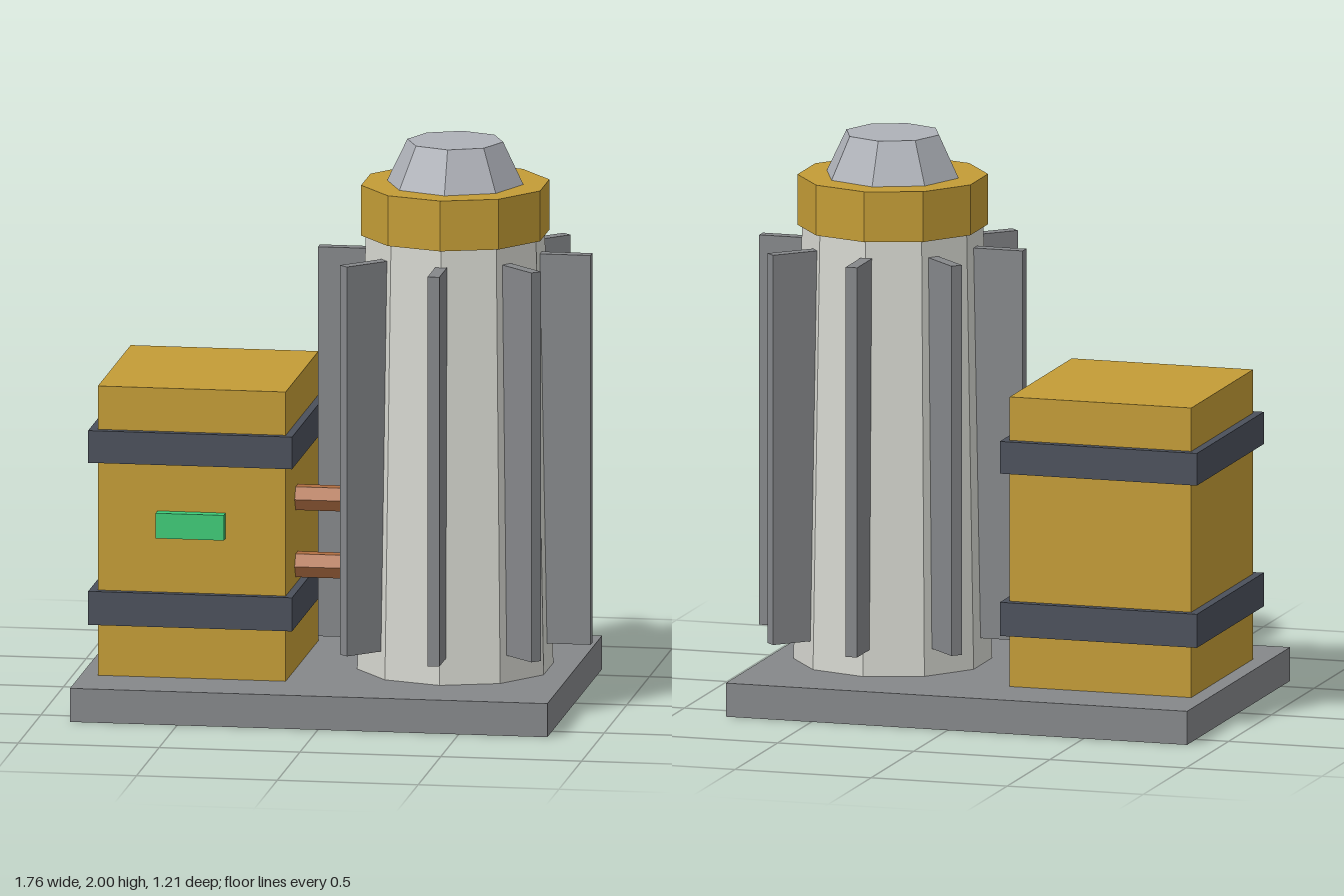
import * as THREE from 'three';

const mat = (name, color) => {
  const m = new THREE.MeshStandardMaterial({ color, flatShading: true });
  m.name = name;
  return m;
};

export function createModel() {
  const model = new THREE.Group();
  model.name = 'reactorUnit';

  const steel = mat('steel grey', 0x85878a);
  const pale = mat('pale metal', 0xd6d7d0);
  const silver = mat('silver', 0xaeb1b8);
  const gold = mat('gold', 0xc39c36);
  const dark = mat('dark slate', 0x4b505b);
  const copper = mat('copper', 0xb06e42);
  const green = mat('green', 0x3ecb78);

  const add = (parent, name, geometry, material, x, y, z) => {
    const mesh = new THREE.Mesh(geometry, material);
    mesh.name = name;
    mesh.position.set(x, y, z);
    parent.add(mesh);
    return mesh;
  };
  // Box from its lower and upper corners
  const box = (parent, name, material, [x0, y0, z0], [x1, y1, z1]) =>
    add(parent, name, new THREE.BoxGeometry(x1 - x0, y1 - y0, z1 - z0), material,
      (x0 + x1) / 2, (y0 + y1) / 2, (z0 + z1) / 2);
  // Faceted upright drum between two heights
  const drum = (parent, name, material, rTop, rBottom, y0, y1, sides) =>
    add(parent, name, new THREE.CylinderGeometry(rTop, rBottom, y1 - y0, sides), material,
      0, (y0 + y1) / 2, 0);

  box(model, 'basePlate', steel, [-0.88, 0, -0.604], [0.815, 0.12, 0.604]);

  // Storage tank with two straps and an indicator
  const tank = new THREE.Group();
  tank.name = 'tank';
  model.add(tank);
  box(tank, 'tankBody', gold, [-0.82, 0.12, -0.364], [-0.153, 1.155, 0.362]);
  for (const [y0, y1] of [[0.305, 0.425], [0.885, 1.0]]) {
    box(tank, 'tankStrap', dark, [-0.85, y0, -0.394], [-0.126, y1, 0.39]);
  }
  box(tank, 'indicatorLight', green, [-0.608, 0.625, 0.35], [-0.366, 0.715, 0.404]);

  // Tower: tapered column, collar and cap
  const tower = new THREE.Group();
  tower.name = 'tower';
  tower.position.x = 0.391;
  model.add(tower);
  drum(tower, 'column', pale, 0.318, 0.348, 0.12, 1.68, 10);
  drum(tower, 'collar', gold, 0.334, 0.334, 1.67, 1.85, 10);
  drum(tower, 'cap', silver, 0.17, 0.242, 1.85, 2.0, 8);

  // Eight radial cooling fins
  for (let i = 0; i < 8; i++) {
    const fin = new THREE.Group();
    fin.name = 'coolingFin';
    fin.rotation.y = (i * Math.PI) / 4;
    tower.add(fin);
    box(fin, 'finBlade', steel, [0.26, 0.215, -0.021], [0.484, 1.608, 0.021]);
  }

  // Two hexagonal pipes joining tank and tower
  for (const y of [0.49, 0.73]) {
    const pipe = add(model, 'pipe', new THREE.CylinderGeometry(0.048, 0.048, 0.32, 6), copper,
      -0.02, y, 0.117);
    pipe.rotation.z = Math.PI / 2;
  }

  return model;
}
